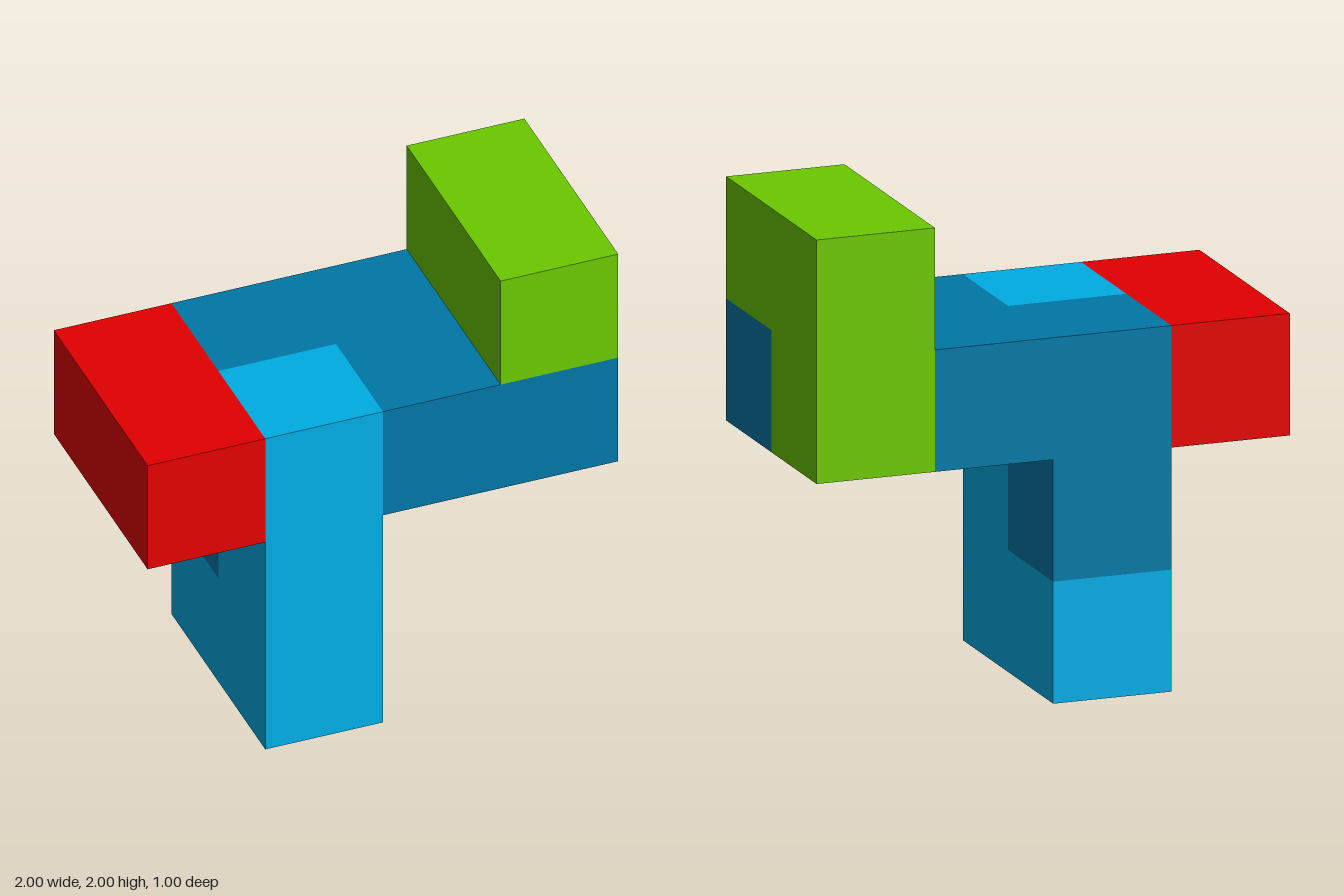
import * as THREE from 'three';

function material(name, color) {
  const m = new THREE.MeshStandardMaterial({ color });
  m.name = name;
  return m;
}

// Extrudes an outline of [u, v] corners by one cube (0.5)
function prism(points) {
  const shape = new THREE.Shape(points.map(([u, v]) => new THREE.Vector2(u, v)));
  return new THREE.ExtrudeGeometry(shape, { depth: 0.5, bevelEnabled: false });
}

// Outline in (z, y), running from x = right back to x = right - 0.5
const sidePrism = (points, right) => prism(points).rotateY(-Math.PI / 2).translate(right, 0, 0);

// Outline in (x, z), running from y = top down to y = top - 0.5
const planPrism = (points, top) => prism(points).rotateX(Math.PI / 2).translate(0, top, 0);

export function createModel() {
  const model = new THREE.Group();
  model.name = 'cubePuzzle';

  const red = material('red', 0xe30000);
  const lightBlue = material('light blue', 0x00ace4);
  const darkBlue = material('dark blue', 0x0077a6);
  const green = material('green', 0x6bc700);

  const add = (name, geometry, mat) => {
    const mesh = new THREE.Mesh(geometry, mat);
    mesh.name = name;
    model.add(mesh);
  };

  // Two-cube bar on the right end
  add('redBar', new THREE.BoxGeometry(0.5, 0.5, 1).translate(-0.75, 1.25, 0), red);

  // Standing L: tall in front, one cube high at the back
  add('lightBlueLeg', sidePrism(
    [[-0.5, 0], [0.5, 0], [0.5, 1.5], [0, 1.5], [0, 0.5], [-0.5, 0.5]], 0), lightBlue);

  // Zigzag beam with one cube hanging below its back end
  add('darkBlueBeam', planPrism(
    [[-0.5, -0.5], [0.5, -0.5], [0.5, 0], [1, 0], [1, 0.5], [0, 0.5], [0, 0], [-0.5, 0]], 1.5), darkBlue);
  add('darkBlueDrop', new THREE.BoxGeometry(0.5, 0.5, 0.5).translate(-0.25, 0.75, -0.25), darkBlue);

  // L hooked over the left end of the beam
  add('greenHook', sidePrism(
    [[-0.5, 1], [0, 1], [0, 1.5], [0.5, 1.5], [0.5, 2], [-0.5, 2]], 1), green);

  return model;
}
